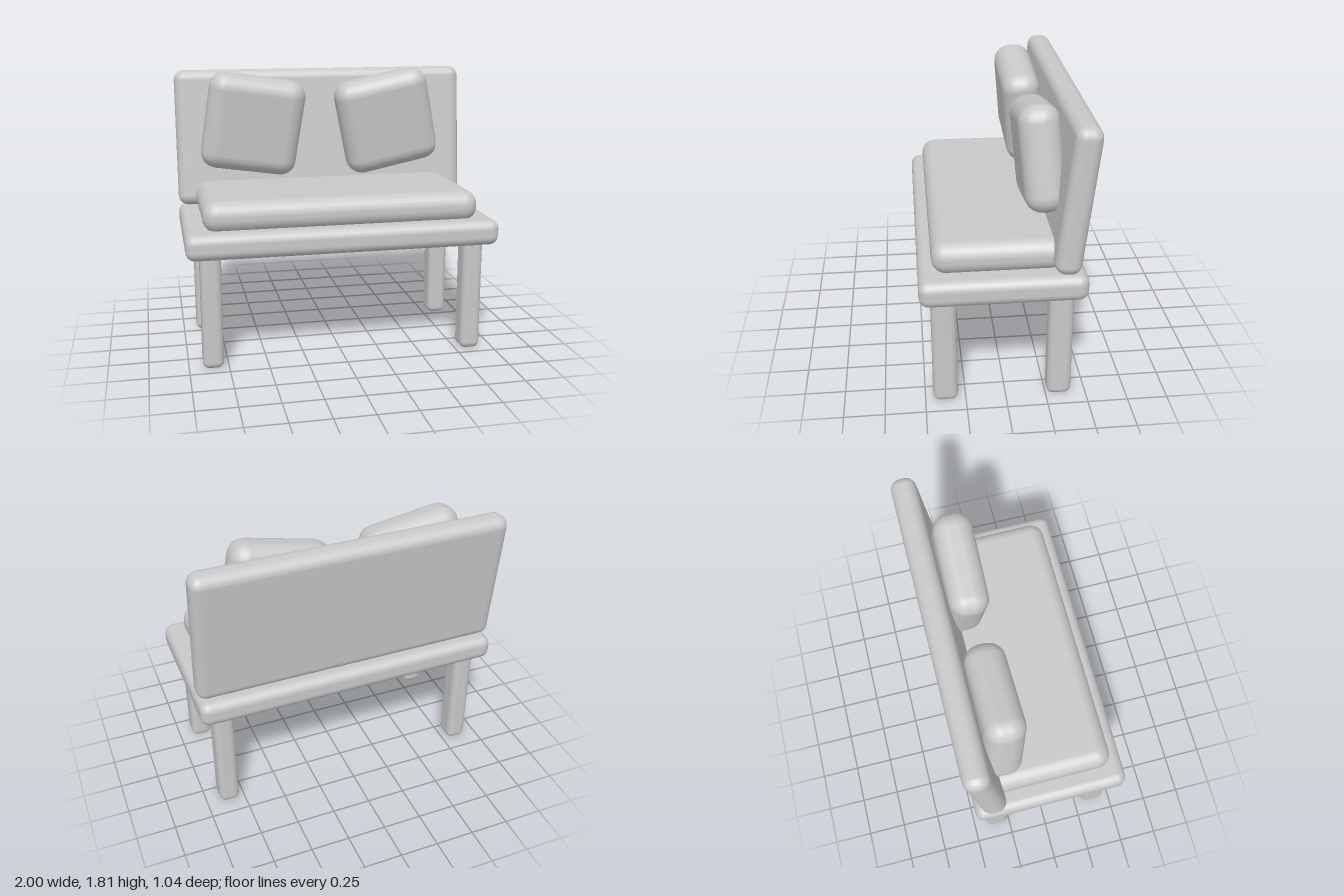
import * as THREE from 'three';
import { RoundedBoxGeometry } from 'three/addons/geometries/RoundedBoxGeometry.js';

export function createModel() {
  const group = new THREE.Group();
  const grey = new THREE.MeshStandardMaterial({ color: 0xc8c8c8 });
  grey.name = 'light grey';

  // Soft-edged block: size, edge radius, centre, optional rotation
  function block(name, [w, h, d], radius, position, rotation = [0, 0, 0]) {
    const mesh = new THREE.Mesh(new RoundedBoxGeometry(w, h, d, 3, radius), grey);
    mesh.name = name;
    mesh.position.set(...position);
    mesh.rotation.set(...rotation);
    group.add(mesh);
  }

  // Four legs, running slightly into the seat
  for (const [side, x] of [['Left', 0.848], ['Right', -0.848]]) {
    block(`front${side}Leg`, [0.132, 0.78, 0.153], 0.042, [x, 0.39, 0.375]);
    block(`back${side}Leg`, [0.132, 0.78, 0.153], 0.042, [x, 0.39, -0.333]);
  }

  // Seat board, cushion and reclined backrest
  block('seat', [2, 0.165, 1], 0.06, [0, 0.803, 0.02]);
  block('seatCushion', [1.77, 0.2, 0.8], 0.092, [0, 0.962, 0.038]);
  block('backrest', [2, 0.912, 0.16], 0.066, [0, 1.344, -0.396], [-0.109, 0, 0]);

  // Two loose pillows, tilted forward and turned
  block('rightPillow', [0.645, 0.645, 0.25], 0.105, [-0.493, 1.45, -0.234], [0.087, 0, -0.15]);
  block('leftPillow', [0.645, 0.645, 0.25], 0.105, [0.428, 1.45, -0.234], [0.087, 0, 0.21]);

  return group;
}
